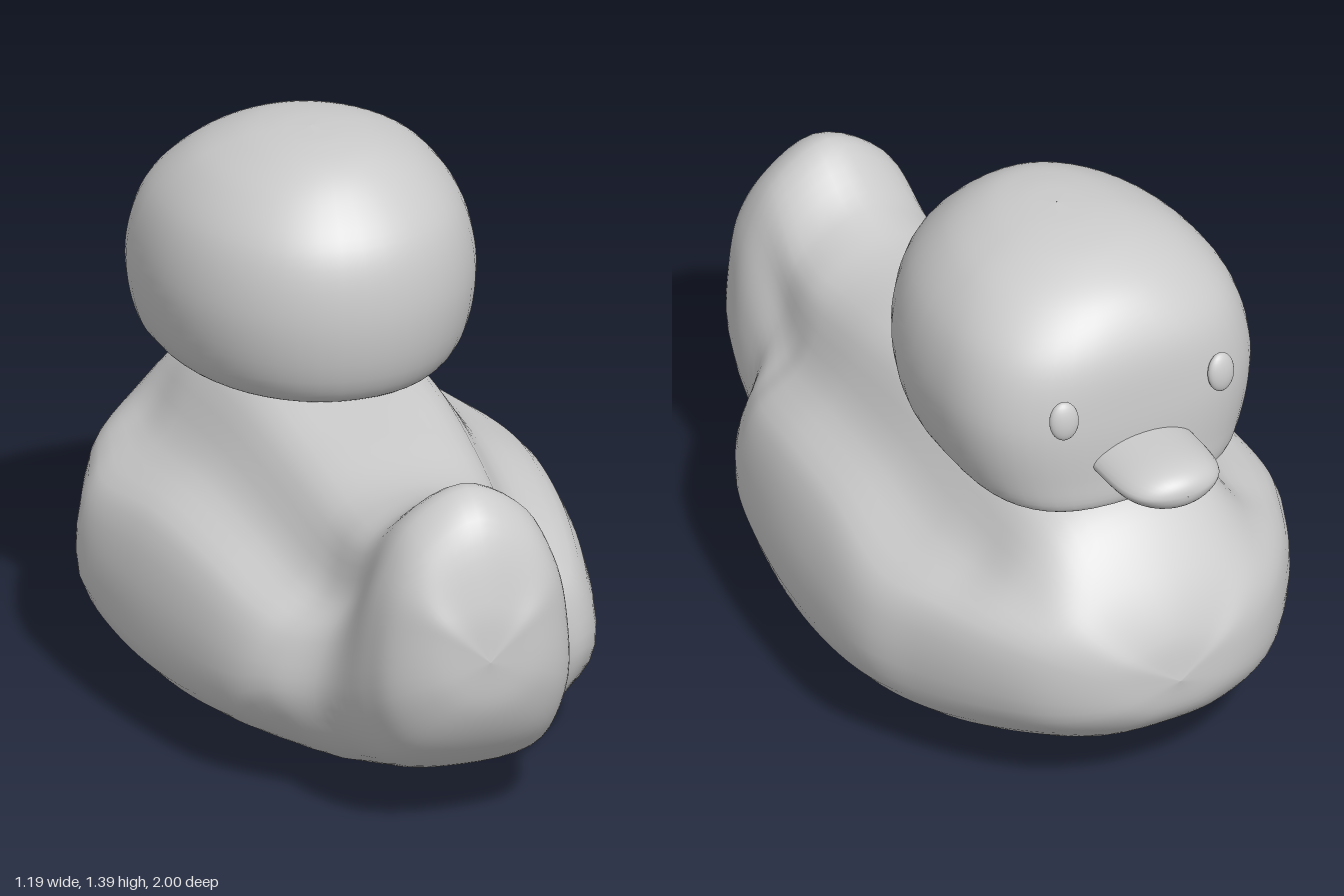
import * as THREE from 'three';

const V = (x, y, z) => new THREE.Vector3(x, y, z);
const TAU = Math.PI * 2;
const { clamp, smoothstep, lerp } = THREE.MathUtils;

// Skin a series of closed rings, with smooth rails running through matching points.
function loft(rings, steps) {
  const n = rings[0].length, positions = [], index = [];
  const rails = rings[0].map((_, j) => new THREE.CatmullRomCurve3(rings.map((r) => r[j])));
  for (let i = 0; i <= steps; i++) {
    for (const rail of rails) positions.push(...rail.getPoint(i / steps).toArray());
  }
  for (let i = 0; i < steps; i++) {
    for (let j = 0; j < n; j++) {
      const k = (j + 1) % n;
      const a = i * n + j, b = a + n, c = i * n + k, d = c + n;
      index.push(a, b, c, b, d, c);
    }
  }
  const geometry = new THREE.BufferGeometry();
  geometry.setAttribute('position', new THREE.Float32BufferAttribute(positions, 3));
  geometry.setIndex(index);
  geometry.computeVertexNormals();
  return geometry;
}

const ringOf = (n, fn) => Array.from({ length: n }, (_, j) => fn((j / n) * TAU));
const power = (v, e) => Math.sign(v) * Math.abs(v) ** e;

// Body sections: z, top y, shoulder x/y, wing top x/y, wing bottom x/y, belly x/y, bottom y
const BODY = [
  [-0.94, 0.46, 0.10, 0.44, 0.18, 0.38, 0.165, 0.29, 0.09, 0.245, 0.235],
  [-0.86, 0.60, 0.17, 0.57, 0.32, 0.43, 0.30, 0.26, 0.17, 0.175, 0.155],
  [-0.72, 0.74, 0.20, 0.70, 0.43, 0.46, 0.41, 0.235, 0.25, 0.12, 0.085],
  [-0.56, 0.79, 0.22, 0.75, 0.50, 0.47, 0.50, 0.215, 0.31, 0.08, 0.045],
  [-0.40, 0.80, 0.21, 0.78, 0.55, 0.46, 0.57, 0.22, 0.34, 0.068, 0.02],
  [-0.10, 0.80, 0.21, 0.78, 0.52, 0.50, 0.565, 0.19, 0.34, 0.062, 0.002],
  [0.20, 0.78, 0.20, 0.74, 0.48, 0.485, 0.52, 0.19, 0.31, 0.06, 0.015],
  [0.42, 0.76, 0.19, 0.70, 0.43, 0.44, 0.465, 0.22, 0.28, 0.08, 0.04],
  [0.53, 0.765, 0.19, 0.69, 0.37, 0.42, 0.41, 0.27, 0.26, 0.10, 0.06],
  [0.64, 0.795, 0.18, 0.70, 0.285, 0.44, 0.31, 0.28, 0.22, 0.13, 0.085],
  [0.81, 0.888, 0.15, 0.81, 0.26, 0.51, 0.26, 0.32, 0.19, 0.185, 0.15],
  [0.91, 0.835, 0.13, 0.765, 0.22, 0.55, 0.22, 0.37, 0.15, 0.26, 0.23],
  [0.98, 0.64, 0.07, 0.615, 0.13, 0.55, 0.13, 0.43, 0.08, 0.37, 0.35],
];

function bodyGeometry() {
  const n = 56;
  const rings = BODY.map(([z, top, ...s]) => {
    const bottom = s.pop(), half = [];
    for (let i = 0; i < s.length; i += 2) half.push([s[i], s[i + 1]]);
    // Flank hollows in above the wing and swells at the chest and tail
    const dip = 0.042 * smoothstep(z, -0.85, -0.5) * (1 - smoothstep(z, 0.55, 0.75)) - 0.018;
    const [[x1, y1], [x2, y2]] = half;
    half.splice(1, 0, [lerp(x1, x2, 0.52) - dip, lerp(y1, y2, 0.52) - dip]);
    const mirrored = half.map(([x, y]) => V(-x, y, z)).reverse();
    const outline = [V(0, top, z), ...half.map(([x, y]) => V(x, y, z)), V(0, bottom, z), ...mirrored];
    const curve = new THREE.CatmullRomCurve3(outline, true);
    return ringOf(n, (a) => curve.getPoint(a / TAU));
  });
  const tip = (y, z) => ringOf(n, () => V(0, y, z));
  return loft([tip(0.34, -0.963), ...rings, tip(0.49, 1)], 84);
}

// Head levels: y, half width, front z, back z
const HEAD = [
  [0.785, 0.001, -0.35, -0.349],
  [0.786, 0.17, -0.60, -0.14],
  [0.79, 0.29, -0.74, -0.03],
  [0.805, 0.345, -0.772, 0.02],
  [0.87, 0.39, -0.78, 0.06],
  [1.03, 0.415, -0.78, 0.083],
  [1.19, 0.378, -0.755, 0.052],
  [1.30, 0.29, -0.68, -0.035],
  [1.36, 0.18, -0.57, -0.12],
  [1.383, 0.09, -0.46, -0.22],
  [1.39, 0.001, -0.34, -0.339],
];

function headGeometry() {
  const rings = HEAD.map(([y, w, front, back]) => {
    const middle = front + (back - front) * 0.42;
    const face = lerp(0.7, 1, smoothstep(y, 1.1, 1.36));
    // Flat, square face in front; round at the back and crown
    return ringOf(48, (a) => {
      const s = Math.sin(a), e = s < 0 ? face : 0.95;
      const z = middle + power(s, e) * (s < 0 ? middle - front : back - middle);
      const chin = y < 0.85 ? 0.025 * clamp((-0.45 - z) / 0.3, 0, 1) : 0;
      return V(w * power(Math.cos(a), e), y - chin, z);
    });
  });
  return loft(rings, 60);
}

// Flat bill with a blunt, rounded tip
function beakGeometry() {
  const rings = [];
  for (let i = 0; i <= 12; i++) {
    const u = Math.cos((i / 12) * Math.PI / 2);
    const wide = Math.max(0.001, 0.14 * (1 - u ** 5) ** 0.5);
    const tall = Math.max(0.001, 0.062 * (1 - u ** 6) ** 0.5);
    rings.push(ringOf(32, (a) =>
      V(wide * Math.sin(a), 0.91 + tall * power(Math.cos(a), 1.2), -0.75 - 0.25 * u)));
  }
  return loft(rings, 36);
}

export function createModel() {
  const group = new THREE.Group();
  const material = new THREE.MeshStandardMaterial({ color: 0xcccccc });
  const add = (name, geometry) => {
    const mesh = new THREE.Mesh(geometry, material);
    mesh.name = name;
    group.add(mesh);
    return mesh;
  };

  add('body', bodyGeometry());
  add('head', headGeometry());
  add('beak', beakGeometry());

  // Eyes
  for (const side of [-1, 1]) {
    const eye = add(side > 0 ? 'leftEye' : 'rightEye', new THREE.SphereGeometry(1, 24, 16));
    eye.scale.set(0.038, 0.052, 0.02);
    eye.position.set(side * 0.22, 1.07, -0.77);
    eye.rotation.set(0.12, -side * 0.15, 0);
  }
  return group;
}
